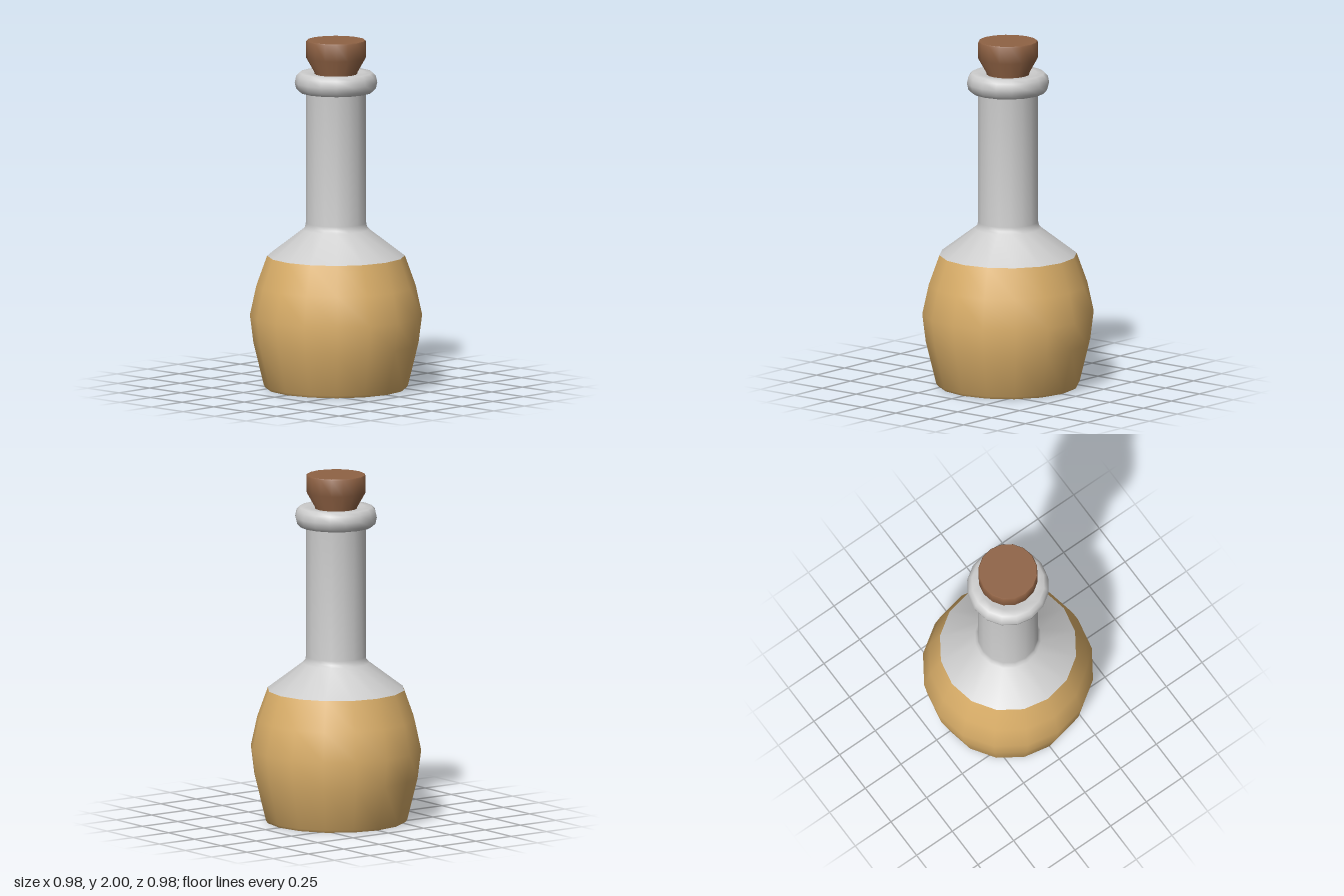
import * as THREE from 'three';
import { toCreasedNormals } from 'three/addons/utils/BufferGeometryUtils.js';

const SIDES = 16;

// Turns a [radius, height] profile, listed bottom to top on the outside
function turned(name, color, profile) {
  const points = profile.map(([r, y]) => new THREE.Vector2(r, y));
  const geometry = toCreasedNormals(new THREE.LatheGeometry(points, SIDES), 0.95);
  const material = new THREE.MeshStandardMaterial({ color, side: THREE.DoubleSide });
  const mesh = new THREE.Mesh(geometry, material);
  mesh.name = name;
  return mesh;
}

export function createModel() {
  const bottle = new THREE.Group();
  bottle.name = 'corkedBottle';

  // Filled belly with a flat base
  bottle.add(turned('filledBody', 0xdcb06a, [
    [0, 0], [0.4, 0], [0.41, 0.015], [0.47, 0.26], [0.49, 0.42], [0.453, 0.59], [0.392, 0.76],
  ]));

  // Empty glass shoulder running into the straight neck
  bottle.add(turned('shoulderAndNeck', 0xcccccc, [
    [0.392, 0.76], [0.19, 0.913], [0.177, 0.927], [0.172, 0.95], [0.172, 1.72],
  ]));

  // Rounded lip, with a bore for the cork
  bottle.add(turned('lip', 0xcccccc, [
    [0.165, 1.703], [0.208, 1.703], [0.227, 1.722], [0.235, 1.757],
    [0.227, 1.795], [0.208, 1.815], [0.165, 1.815], [0.12, 1.807], [0.12, 1.72],
  ]));

  // Cork, flared above the lip
  bottle.add(turned('cork', 0x8f6244, [
    [0, 1.74], [0.122, 1.74], [0.122, 1.815], [0.17, 1.9], [0.17, 1.994], [0.166, 2], [0, 2],
  ]));

  return bottle;
}
